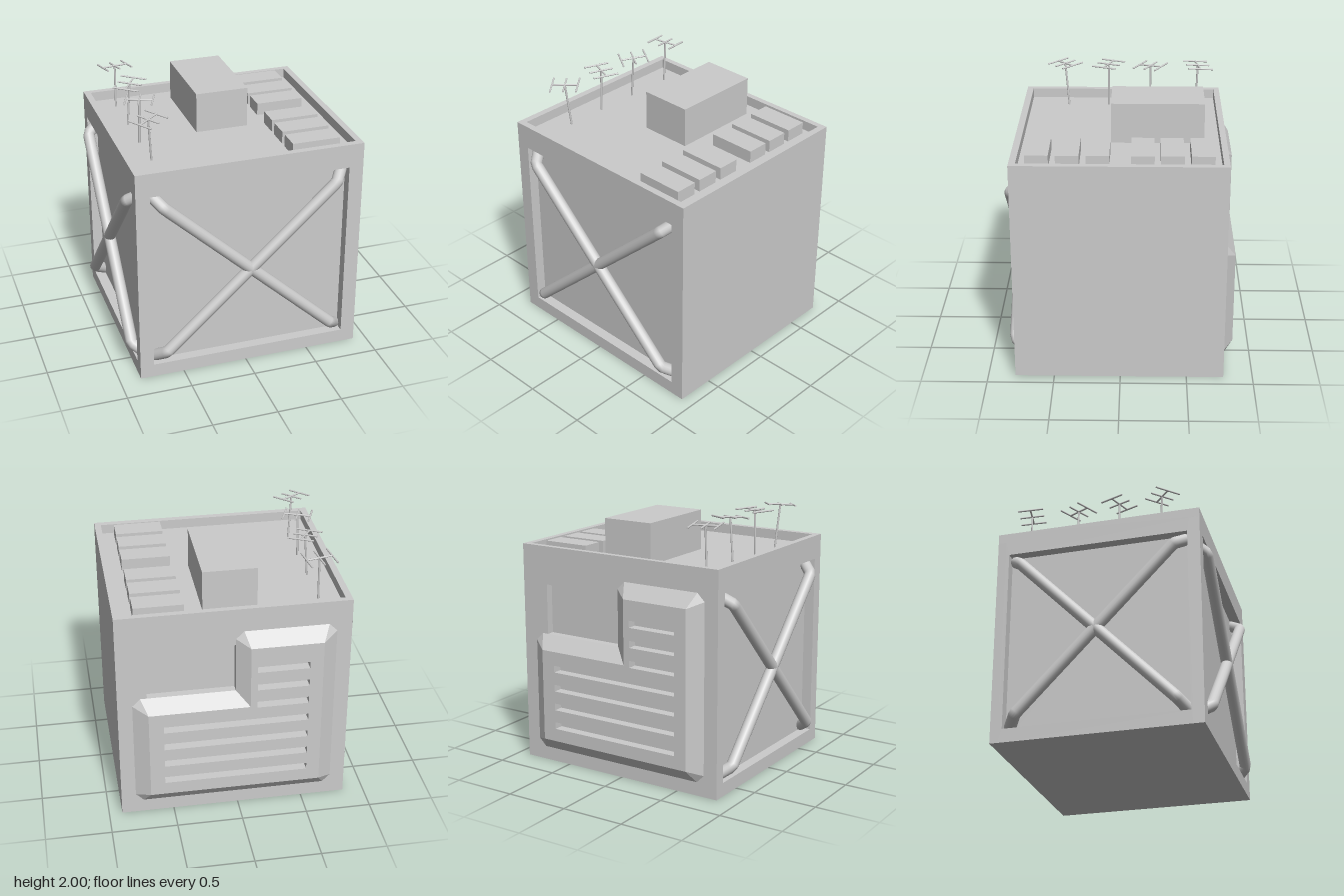
import * as THREE from 'three';

const material = new THREE.MeshStandardMaterial({ color: 0xcccccc, side: THREE.DoubleSide });

function add(parent, name, geometry, x = 0, y = 0, z = 0) {
  const mesh = new THREE.Mesh(geometry, material);
  mesh.name = name;
  mesh.position.set(x, y, z);
  parent.add(mesh);
  return mesh;
}

// box given by its limits on each axis
function block(parent, name, [x0, x1], [y0, y1], [z0, z1]) {
  const g = new THREE.BoxGeometry(x1 - x0, y1 - y0, z1 - z0);
  return add(parent, name, g, (x0 + x1) / 2, (y0 + y1) / 2, (z0 + z1) / 2);
}

const rect = (x0, x1, y0, y1) =>
  [[x0, y0], [x1, y0], [x1, y1], [x0, y1]].map(p => new THREE.Vector2(...p));

// flat plate with rectangular holes, its outer face at z = top
function plate(points, holes, depth, top = 0) {
  const shape = new THREE.Shape(points);
  for (const h of holes) shape.holes.push(new THREE.Path(rect(...h)));
  return new THREE.ExtrudeGeometry(shape, { depth, bevelEnabled: false }).translate(0, 0, top - depth);
}

// crossed pipes whose ends bend back into the recess
function crossBrace(w, h) {
  const group = new THREE.Group();
  group.name = 'crossBrace';
  for (const s of [-1, 1]) {
    const at = (k, inset, z) => new THREE.Vector3(k * s * (w / 2 - inset), k * (h / 2 - inset), z);
    const pts = [at(-1, 0.03, -0.085), at(-1, 0.1, 0.01), at(1, 0.1, 0.01), at(1, 0.03, -0.085)];
    const path = new THREE.CurvePath();
    for (let i = 0; i < 3; i++) path.add(new THREE.LineCurve3(pts[i], pts[i + 1]));
    add(group, 'bracePipe', new THREE.TubeGeometry(path, 80, 0.045, 16));
  }
  return group;
}

// sloped rim between an outer outline and a raised inner one, with cut convex corners
function slopedRim(outer, inner, height, cut) {
  const n = outer.length, pos = [];
  const corners = outer.map((p, i) => {
    const a = outer[(i + n - 1) % n], b = outer[(i + 1) % n];
    const toA = a.clone().sub(p).normalize(), toB = b.clone().sub(p).normalize();
    const c = toB.cross(toA) > 0 ? cut : 0;
    return [p.clone().addScaledVector(toA, c), p.clone().addScaledVector(toB, c)];
  });
  const low = p => [p.x, p.y, 0], high = p => [p.x, p.y, height];
  for (let i = 0; i < n; i++) {
    const j = (i + 1) % n;
    const a = low(corners[i][1]), b = low(corners[j][0]), c = high(inner[j]), d = high(inner[i]);
    pos.push(...a, ...b, ...c, ...a, ...c, ...d);
    if (!corners[i][0].equals(corners[i][1])) pos.push(...low(corners[i][0]), ...a, ...d);
  }
  const g = new THREE.BufferGeometry();
  g.setAttribute('position', new THREE.Float32BufferAttribute(pos, 3));
  g.computeVertexNormals();
  return g;
}

// leaning mast with a boom and three cross rods
function antenna(base, top, yaw, tilt) {
  const group = new THREE.Group();
  group.name = 'antenna';
  const mast = new THREE.LineCurve3(new THREE.Vector3(...base), new THREE.Vector3(...top));
  add(group, 'mast', new THREE.TubeGeometry(mast, 1, 0.008, 8));
  const head = new THREE.Group();
  head.name = 'antennaHead';
  head.position.set(...top);
  head.rotation.set(tilt, yaw, 0);
  const rod = length => new THREE.CylinderGeometry(0.007, 0.007, length, 8);
  add(head, 'boom', rod(0.2)).rotation.z = Math.PI / 2;
  for (const x of [-0.1, 0, 0.1])
    add(head, 'crossRod', rod(x ? 0.2 : 0.19), x).rotation.x = Math.PI / 2;
  group.add(head);
  return group;
}

export function createModel() {
  const model = new THREE.Group();
  model.name = 'rooftopBlock';

  // solid core and the plain side
  block(model, 'core', [-0.76, 0.9], [0, 1.64], [-0.72, 0.715]);

  // front and right walls, each with a recessed cross brace
  add(model, 'frontWall', plate(rect(-0.84, 0.9, 0, 1.64), [[-0.735, 0.79, 0.105, 1.53]], 0.08, 0.795));
  const frontBrace = crossBrace(1.525, 1.425);
  frontBrace.position.set(0.0275, 0.8175, 0.795);
  model.add(frontBrace);

  const sideWall = add(model, 'sideWall', plate(rect(-0.72, 0.715, 0, 1.64), [[-0.69, 0.7, 0.105, 1.53]], 0.08), -0.84);
  sideWall.rotation.y = -Math.PI / 2;
  const sideBrace = crossBrace(1.39, 1.425);
  sideBrace.position.set(-0.845, 0.8175, 0.005);
  sideBrace.rotation.y = -Math.PI / 2;
  model.add(sideBrace);

  // back wall with a window recess and a raised, slotted L-shaped panel
  const back = new THREE.Group();
  back.name = 'back';
  back.position.z = -0.78;
  back.rotation.y = Math.PI;
  model.add(back);
  add(back, 'backWall', plate(rect(-0.9, 0.84, 0, 1.64), [[-0.68, -0.02, 1.03, 1.42]], 0.06));
  const ell = (x0, x1, x2, y0, y1, y2) =>
    [[x0, y0], [x2, y0], [x2, y2], [x1, y2], [x1, y1], [x0, y1]].map(p => new THREE.Vector2(...p));
  const outer = ell(-0.79, -0.02, 0.73, 0.105, 1.03, 1.53);
  const inner = ell(-0.68, 0.08, 0.62, 0.2, 0.92, 1.42);
  const slots = [];
  for (let i = 0; i < 7; i++) {
    const y = 1.24 - i * 0.152;
    slots.push([i < 3 ? 0.13 : -0.57, 0.52, y - 0.027, y + 0.027]);
  }
  add(back, 'ventPanel', plate(inner, slots, 0.075, 0.075));
  add(back, 'ventPanelRim', slopedRim(outer, inner, 0.075, 0.06));

  // parapet around the sunken roof
  const parapet = add(model, 'parapet', plate(rect(-0.84, 0.9, -0.795, 0.78), [[-0.79, 0.85, -0.745, 0.735]], 0.075), 0, 1.715);
  parapet.rotation.x = -Math.PI / 2;

  // roof house and roof units
  block(model, 'roofHouse', [-0.165, 0.24], [1.64, 1.95], [-0.62, 0.08]);
  for (const z of [-0.595, -0.375, -0.16, 0.165, 0.385, 0.605])
    block(model, 'roofUnit', [0.38, 0.75], [1.64, 1.735], [z - 0.085, z + 0.085]);

  // antennas along the right edge
  model.add(
    antenna([-0.625, 1.64, -0.585], [-0.62, 1.978, -0.595], 0.19, -0.09),
    antenna([-0.625, 1.64, -0.215], [-0.6, 1.978, -0.215], 1.01, 0.1),
    antenna([-0.625, 1.64, 0.12], [-0.615, 1.985, 0.12], -0.37, 0),
    antenna([-0.62, 1.64, 0.44], [-0.645, 1.98, 0.47], 0.68, 0.09)
  );
  return model;
}
